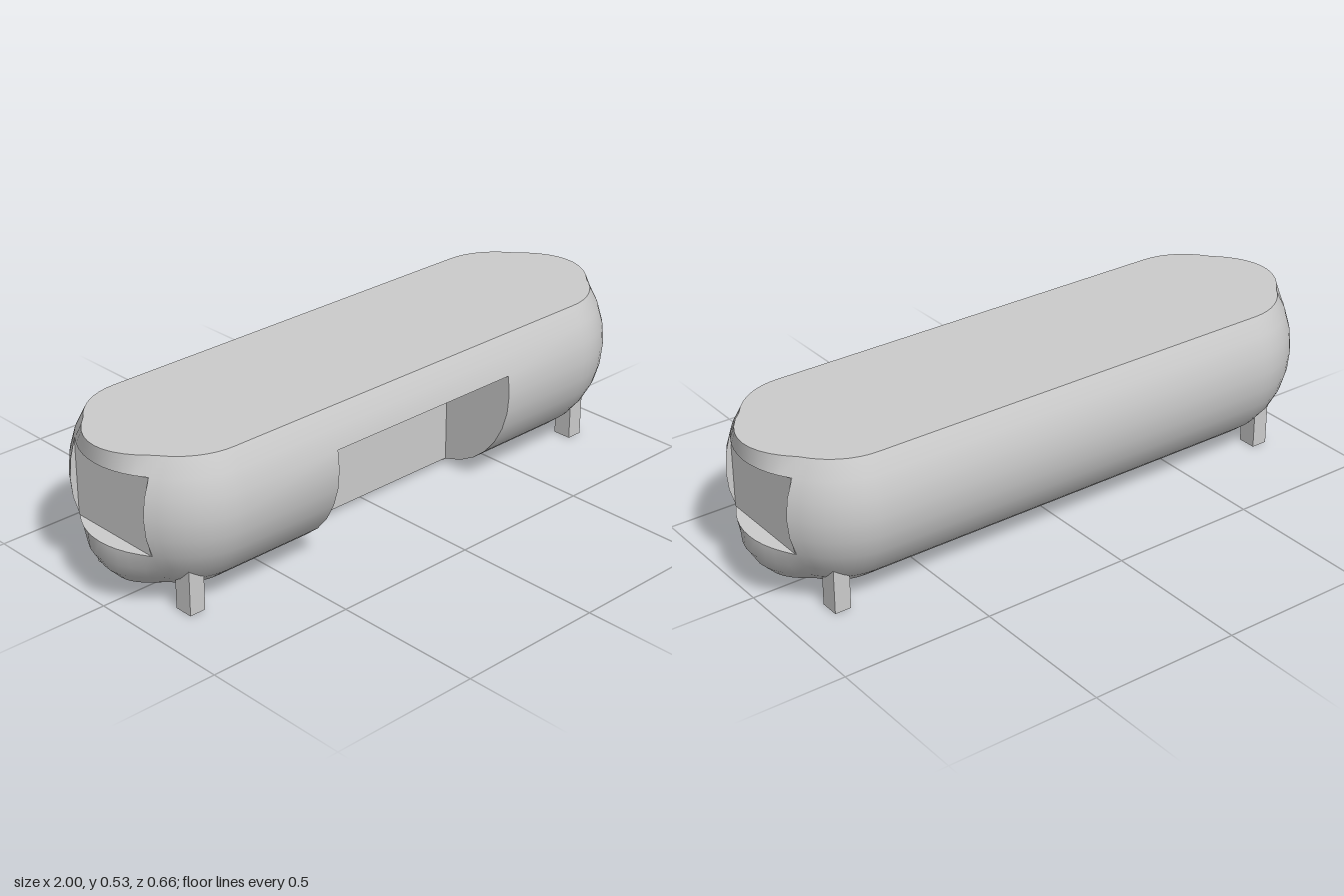
import * as THREE from 'three';
import { toCreasedNormals } from 'three/addons/utils/BufferGeometryUtils.js';

const R = 0.331, CENTRE_Y = 0.343; // round cross-section
const STRAIGHT = 0.72, CAP = 0.29; // half length of the straight part, depth of the rounded ends
const DOOR_X = 0.365, DOOR_Z = 0.06; // side opening
const PANEL_X = 0.945, PANEL_Z = 0.17; // sunken end panels
// how far the end reaches along the centre line at each level, bottom to top
const TIPS = [0.82, 0.87, 0.93, 0.97, 1, 1, 1, 1, 1, 1, 1];

// closed outline of the body at one level, seen from above
function outline({ i, door, panel }) {
  const angle = (i * Math.PI) / 16;
  const y = CENTRE_Y + R * Math.sin(angle);
  const w = R * Math.cos(angle);
  const a = (CAP * w) / R;
  const zi = Math.min(PANEL_Z, 0.6 * w);
  const capX = (z) => STRAIGHT + a * Math.sqrt(Math.max(0, 1 - (z / w) ** 2));
  const lip = Math.max(0, TIPS[i + 7] - capX(0));

  // half of one end: from the side to the panel edge
  const side = [];
  const a0 = Math.asin(zi / w);
  for (let k = 0; k <= 8; k++) {
    const t = Math.PI / 2 + ((a0 - Math.PI / 2) * k) / 8;
    side.push([STRAIGHT + a * Math.cos(t), w * Math.sin(t)]);
  }
  // middle of the end: sunken panel or protruding lip
  const middle = [];
  for (let k = 0; k <= 10; k++) {
    const z = zi * (1 - k / 5);
    middle.push([panel ? PANEL_X : capX(z) + lip * (1 - (z / zi) ** 2), z]);
  }
  const end = [...side, ...middle, ...side.map(([x, z]) => [x, -z]).reverse()];
  const doorZ = door ? Math.min(w, DOOR_Z) : w;
  const front = [[-DOOR_X, w], [-DOOR_X, doorZ], [DOOR_X, doorZ], [DOOR_X, w]];
  const otherEnd = end.map(([x, z]) => [-x, z]).reverse();
  return [...front, ...end, ...otherEnd].map(([x, z]) => new THREE.Vector3(x, y, z));
}

function bodyGeometry() {
  // levels are doubled where the opening or the end panels start and stop
  const levels = [];
  for (let i = -7; i <= 3; i++) {
    const below = { i, door: i <= 1, panel: i > -2 && i <= 2 };
    const above = { i, door: i < 1, panel: i >= -2 && i < 2 };
    levels.push(below);
    if (below.door !== above.door || below.panel !== above.panel) levels.push(above);
  }
  const rings = levels.map(outline);
  const pos = [];
  const tri = (...pts) => {
    if (new THREE.Triangle(...pts).getArea() > 1e-9) pts.forEach((p) => pos.push(p.x, p.y, p.z));
  };
  const n = rings[0].length;
  for (let r = 0; r < rings.length - 1; r++) {
    for (let k = 0; k < n; k++) {
      const m = (k + 1) % n;
      const lo = rings[r], hi = rings[r + 1];
      tri(lo[k], lo[m], hi[m]);
      tri(lo[k], hi[m], hi[k]);
    }
  }
  // flat top and bottom
  const bottom = rings[0], top = rings[rings.length - 1];
  const bottomMid = new THREE.Vector3(0, bottom[0].y, 0);
  const topMid = new THREE.Vector3(0, top[0].y, 0);
  for (let k = 0; k < n; k++) {
    const m = (k + 1) % n;
    tri(bottomMid, bottom[m], bottom[k]);
    tri(topMid, top[k], top[m]);
  }
  const geo = new THREE.BufferGeometry();
  geo.setAttribute('position', new THREE.Float32BufferAttribute(pos, 3));
  return toCreasedNormals(geo, 0.6);
}

export function createModel() {
  const group = new THREE.Group();
  const material = new THREE.MeshStandardMaterial({ color: 0xcccccc, side: THREE.DoubleSide });

  const body = new THREE.Mesh(bodyGeometry(), material);
  body.name = 'body';
  group.add(body);

  // four short feet
  const footGeo = new THREE.BoxGeometry(0.055, 0.15, 0.064);
  for (const sx of [-1, 1]) {
    for (const sz of [-1, 1]) {
      const foot = new THREE.Mesh(footGeo, material);
      foot.name = `${sz > 0 ? 'front' : 'back'}${sx > 0 ? 'Left' : 'Right'}Foot`;
      foot.position.set(sx * 0.825, 0.075, sz * 0.187);
      group.add(foot);
    }
  }
  return group;
}
